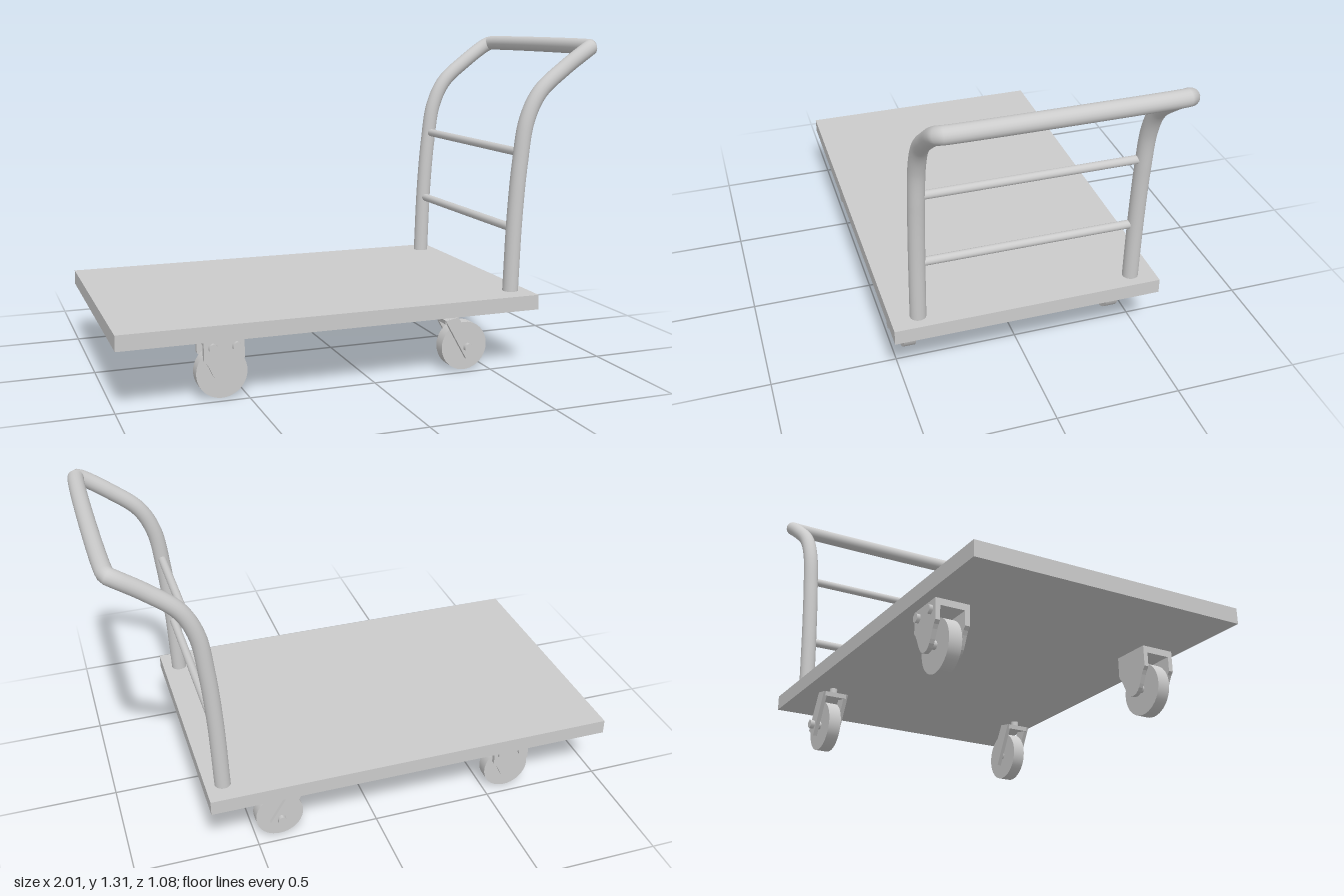
import * as THREE from 'three';

const material = new THREE.MeshStandardMaterial({ color: 0xcccccc });

function add(parent, name, geometry, x = 0, y = 0, z = 0) {
  const mesh = new THREE.Mesh(geometry, material);
  mesh.name = name;
  mesh.position.set(x, y, z);
  parent.add(mesh);
  return mesh;
}

// Cylinder lying along z
function rod(radius, length, sides) {
  return new THREE.CylinderGeometry(radius, radius, length, sides).rotateX(Math.PI / 2);
}

// Flat plate in the xy plane, centred on z
function plate(shape, depth) {
  return new THREE.ExtrudeGeometry(shape, { depth, bevelEnabled: false, curveSegments: 8 })
    .translate(0, 0, -depth / 2);
}

// Rigid caster: two shield-shaped cheeks, a bridge and outer bolts
function fixedCaster(side) {
  const g = new THREE.Group();
  g.name = 'fixedCaster';
  add(g, 'wheel', rod(0.098, 0.05, 40), 0, 0.098, 0);
  add(g, 'axle', rod(0.016, 0.12, 12), 0, 0.1, 0);
  const s = new THREE.Shape();
  s.moveTo(-0.077, 0.24);
  s.lineTo(-0.077, 0.16);
  s.bezierCurveTo(-0.045, 0.13, -0.045, 0.066, 0, 0.066);
  s.bezierCurveTo(0.045, 0.066, 0.045, 0.13, 0.077, 0.16);
  s.lineTo(0.077, 0.24);
  for (const d of [-1, 1]) add(g, 'cheekPlate', plate(s, 0.018), 0, 0, d * 0.057);
  add(g, 'bridgePlate', new THREE.BoxGeometry(0.154, 0.025, 0.115), 0, 0.2275, 0);
  for (const x of [-0.043, 0.047]) {
    add(g, 'bolt', rod(0.018, 0.015, 6), x, 0.207, side * 0.072);
  }
  return g;
}

// Swivel caster: trailing fork hung from a short stem
function swivelCaster(side) {
  const g = new THREE.Group();
  g.name = 'swivelCaster';
  add(g, 'wheel', rod(0.098, 0.05, 40), 0, 0.098, 0);
  add(g, 'axle', rod(0.016, 0.1, 12), 0, 0.1, 0);
  const outline = [[-0.095, 0.215], [-0.04, 0.225], [0.045, 0.085], [-0.004, 0.053]];
  const arm = new THREE.Shape(outline.map(([x, y]) => new THREE.Vector2(x, y)));
  for (const d of [-1, 1]) add(g, 'forkArm', plate(arm, 0.016), 0, 0, d * 0.045);
  const crown = add(g, 'forkCrown', new THREE.BoxGeometry(0.056, 0.018, 0.09), -0.066, 0.212, 0);
  crown.rotation.z = 0.18;
  add(g, 'stem', new THREE.CylinderGeometry(0.015, 0.015, 0.035, 16), -0.066, 0.23, 0);
  add(g, 'axleBolt', rod(0.018, 0.018, 6), 0, 0.1, side * 0.061);
  return g;
}

export function createModel() {
  const cart = new THREE.Group();
  cart.name = 'platformCart';

  add(cart, 'deck', new THREE.BoxGeometry(1.69, 0.06, 1.08), -0.155, 0.27, 0);

  // Bent handle: up one side, across the top and down the other
  const profile = [
    [0.62, 0.29], [0.632, 0.6], [0.65, 0.82], [0.676, 0.99],
    [0.73, 1.1], [0.84, 1.195], [0.94, 1.265],
  ];
  const zLeft = 0.432, zRight = -0.442;
  const post = (z) => profile.map(([x, y]) => new THREE.Vector3(x, y, z));
  const path = [
    ...post(zLeft),
    new THREE.Vector3(0.962, 1.277, zLeft - 0.008),
    new THREE.Vector3(0.968, 1.279, zLeft - 0.035),
    new THREE.Vector3(0.968, 1.279, zRight + 0.035),
    new THREE.Vector3(0.962, 1.277, zRight + 0.008),
    ...post(zRight).reverse(),
  ];
  const curve = new THREE.CatmullRomCurve3(path, false, 'centripetal');
  add(cart, 'handle', new THREE.TubeGeometry(curve, 200, 0.032, 20));

  // Cross rungs between the posts
  for (const [x, y] of [[0.63, 0.555], [0.655, 0.862]]) {
    add(cart, 'rung', rod(0.017, 0.86, 16), x, y, -0.005);
  }

  // Casters, with bolts facing outwards
  for (const [side, z] of [[1, 0.438], [-1, -0.434]]) {
    const fixed = fixedCaster(side);
    fixed.position.set(-0.597, 0, z);
    const swivel = swivelCaster(side);
    swivel.position.set(0.4, 0, z);
    cart.add(fixed, swivel);
  }
  return cart;
}
